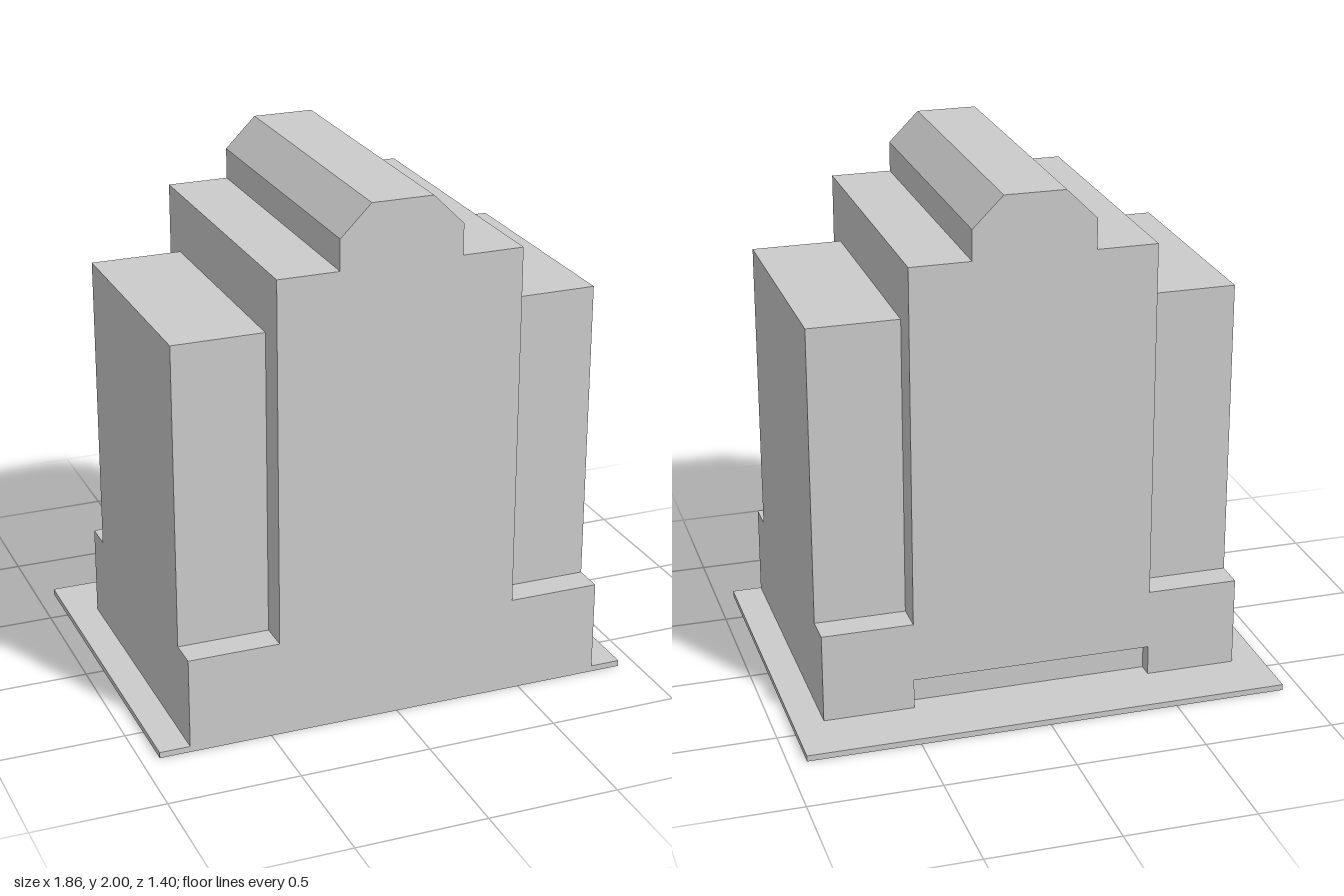
import * as THREE from 'three';

const U = 0.1163; // planning module shared by all the proportions
const GROUND = 0.023;
const BACK = -4 * U, FRONT = 6 * U, RECESS = 0.5 * U;

export function createModel() {
  const group = new THREE.Group();
  const material = new THREE.MeshStandardMaterial({ color: 0xcccccc, flatShading: true });

  const add = (name, geometry) => {
    const mesh = new THREE.Mesh(geometry, material);
    mesh.name = name;
    group.add(mesh);
  };

  // Box given by its lower and upper corners
  const box = (name, [x0, y0, z0], [x1, y1, z1]) => {
    const g = new THREE.BoxGeometry(x1 - x0, y1 - y0, z1 - z0);
    g.translate((x0 + x1) / 2, (y0 + y1) / 2, (z0 + z1) / 2);
    add(name, g);
  };

  // Symmetric outline (right half, bottom to top) extruded along z
  const slab = (name, half, z0, z1) => {
    const left = half.map(([x, y]) => [-x, y]).reverse();
    const shape = new THREE.Shape([...half, ...left].map(([x, y]) => new THREE.Vector2(x, y)));
    const g = new THREE.ExtrudeGeometry(shape, { depth: z1 - z0, bevelEnabled: false });
    g.translate(0, 0, z0);
    add(name, g);
  };

  // Thin ground plate
  box('groundPlate', [-8 * U, 0, -6 * U], [8 * U, GROUND, 6 * U]);

  // Plinth and stepped tower with chamfered crown
  const upper = [
    [7 * U, GROUND + 3 * U], [4 * U, GROUND + 3 * U], [4 * U, 1.767],
    [2 * U, 1.767], [2 * U, 1.884], [U, 2],
  ];
  slab('tower', [[7 * U, GROUND], ...upper], BACK + RECESS, FRONT);

  // Rear layer of the tower, cut out at the foot for the wide entrance recess
  const entrance = [[4 * U, GROUND + U], [4 * U, GROUND], [7 * U, GROUND]];
  slab('rearFacade', [...entrance, ...upper], BACK, BACK + RECESS);

  // Side wings set back from both facades
  for (const [name, s] of [['leftWing', 1], ['rightWing', -1]]) {
    const xs = [s * 4 * U, s * 7 * U].sort((a, b) => a - b);
    box(name, [xs[0], GROUND + 3 * U, -3 * U], [xs[1], 1.535, 5 * U]);
  }

  return group;
}
